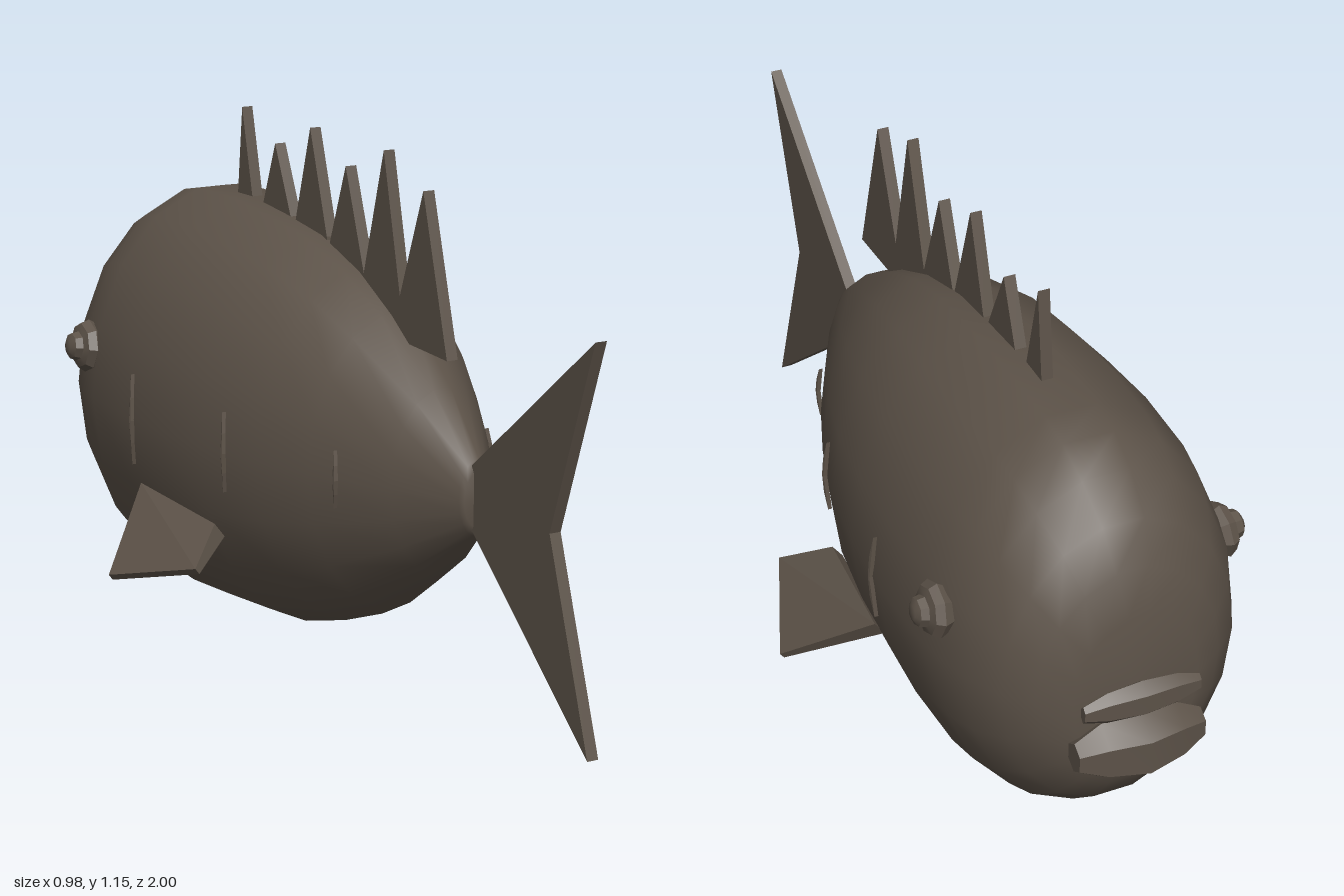
import * as THREE from 'three';
import { toCreasedNormals } from 'three/addons/utils/BufferGeometryUtils.js';

const skin = new THREE.MeshStandardMaterial({ name: 'brown skin', color: 0x5c5248 });

// Skin of elliptical rings [z, centreY, halfWidth, halfHeight], z increasing
function loft(rings, sides, offset) {
  const pos = [], idx = [];
  for (const [z, cy, a, b] of rings) {
    for (let j = 0; j < sides; j++) {
      const t = offset + (j / sides) * Math.PI * 2;
      pos.push(a * Math.sin(t), cy + b * Math.cos(t), z);
    }
  }
  for (let i = 0; i < rings.length - 1; i++) {
    for (let j = 0; j < sides; j++) {
      const k = (j + 1) % sides;
      const a = i * sides + j, b = a + sides, c = i * sides + k, d = c + sides;
      idx.push(a, b, c, c, b, d);
    }
  }
  const g = new THREE.BufferGeometry();
  g.setAttribute('position', new THREE.Float32BufferAttribute(pos, 3));
  g.setIndex(idx);
  g.computeVertexNormals();
  return g;
}

// Upright plate on the centre plane, outlined by [z, y] points
function plate(points, thickness) {
  const shape = new THREE.Shape(points.map(([z, y]) => new THREE.Vector2(z, y)));
  const g = new THREE.ExtrudeGeometry(shape, { depth: thickness, bevelEnabled: false });
  g.translate(0, 0, -thickness / 2);
  g.rotateY(-Math.PI / 2);
  return g;
}

export function createModel() {
  const group = new THREE.Group();
  const add = (name, geometry) => {
    const m = new THREE.Mesh(geometry, skin);
    m.name = name;
    group.add(m);
    return m;
  };

  // Body, head at -z
  const profile = [
    [-0.925, 0.467, 0, 0], [-0.922, 0.467, 0.14, 0.188], [-0.885, 0.472, 0.205, 0.27],
    [-0.84, 0.48, 0.26, 0.348], [-0.76, 0.477, 0.302, 0.415], [-0.68, 0.477, 0.325, 0.452],
    [-0.6, 0.477, 0.338, 0.468], [-0.42, 0.477, 0.345, 0.474], [-0.25, 0.478, 0.336, 0.46],
    [-0.09, 0.478, 0.315, 0.442], [0.08, 0.478, 0.268, 0.392], [0.22, 0.478, 0.215, 0.324],
    [0.41, 0.48, 0.122, 0.2], [0.55, 0.48, 0.042, 0.08], [0.562, 0.48, 0.036, 0.06], [0.562, 0.48, 0, 0],
  ];
  add('body', loft(profile.map(([z, y, a, b]) => [z, y, a, b / Math.cos(Math.PI / 18)]), 18, Math.PI / 18));

  // Tail fin
  add('tailFin', plate([[0.53, 0.41], [0.56, 0.41], [1, 0.055], [0.85, 0.485], [1, 0.905], [0.55, 0.55], [0.53, 0.53]], 0.026));

  // Dorsal spines, each rooted in the back
  const spines = [
    [[0.45, 0.75], [0.35, 1.09], [0.255, 0.85], [0.25, 0.755]],
    [[0.27, 0.755], [0.255, 0.85], [0.185, 1.15], [0.1, 0.87], [0.1, 0.78]],
    [[0.12, 0.8], [0.1, 0.87], [0.02, 1.09], [-0.055, 0.9], [-0.05, 0.84]],
    [[-0.06, 0.86], [-0.065, 0.92], [-0.14, 1.15], [-0.21, 0.93], [-0.21, 0.88]],
    [[-0.23, 0.88], [-0.23, 0.93], [-0.305, 1.09], [-0.37, 0.93], [-0.37, 0.9]],
    [[-0.41, 0.9], [-0.415, 0.94], [-0.465, 1.15], [-0.49, 0.94], [-0.49, 0.9]],
  ];
  spines.forEach((p) => add('dorsalSpine', plate(p, 0.026)));

  // Lips, lofted across the mouth
  const lip = (name, y, z, a, b, w) => {
    const g = loft([[-w, 0, 0, 0], [-w, 0, a * 0.4, b * 0.45], [-w * 0.6, 0, a * 0.72, b * 0.85], [0, 0, a, b],
      [w * 0.6, 0, a * 0.72, b * 0.85], [w, 0, a * 0.4, b * 0.45], [w, 0, 0, 0]], 6, 0);
    g.rotateY(Math.PI / 2);
    add(name, toCreasedNormals(g, 0.6)).position.set(0, y, z);
  };
  lip('upperLip', 0.463, -0.945, 0.028, 0.045, 0.13);
  lip('lowerLip', 0.348, -0.935, 0.075, 0.08, 0.142);

  for (const s of [1, -1]) {
    const side = s > 0 ? 'left' : 'right';

    // Eye with a raised pupil
    const eye = new THREE.LatheGeometry([[0.05, 0], [0.062, 0.025], [0.052, 0.043], [0.034, 0.049],
      [0.03, 0.066], [0.016, 0.074], [0, 0.075]].map(([r, h]) => new THREE.Vector2(r, h)), 8);
    const eyeMesh = add(side + 'Eye', toCreasedNormals(eye, 0.6));
    eyeMesh.position.set(s * 0.3, 0.585, -0.657);
    eyeMesh.rotation.z = -s * (Math.PI / 2 - 0.1);

    // Pectoral fin: wedge, thick at the root
    const corners = [[0.32, 0.315, -0.36, 0.02], [0.485, 0.175, -0.2, 0.008], [0.39, 0.24, 0.04, 0.008], [0.29, 0.295, -0.05, 0.02]];
    const pos = [];
    for (const k of [1, -1]) {
      for (const [x, y, z, t] of corners) pos.push(s * (x + 0.6 * k * t), y + 0.8 * k * t, z);
    }
    const idx = [0, 2, 1, 0, 3, 2, 4, 5, 6, 4, 6, 7];
    for (let i = 0; i < 4; i++) {
      const n = (i + 1) % 4;
      idx.push(i, n, i + 4, n, n + 4, i + 4);
    }
    if (s < 0) idx.reverse();
    const fin = new THREE.BufferGeometry();
    fin.setAttribute('position', new THREE.Float32BufferAttribute(pos, 3));
    fin.setIndex(idx);
    const flat = fin.toNonIndexed();
    flat.computeVertexNormals();
    add(side + 'PectoralFin', flat);

    // Thin curved gill ridges
    for (const [x, y, z, h] of [[0.344, 0.475, -0.375, 0.105], [0.298, 0.48, -0.01, 0.09], [0.189, 0.48, 0.295, 0.063]]) {
      const ridge = plate([[0, -h], [0.008, -h * 0.5], [0.012, 0], [0.008, h * 0.5], [0, h], [0.004, 0]], 0.009);
      // follow the curve of the flank
      const p = ridge.attributes.position;
      for (let i = 0; i < p.count; i++) {
        const v = p.getY(i) / (h * 4.5);
        p.setX(i, p.getX(i) - s * x * (1 - Math.sqrt(1 - v * v)));
      }
      ridge.computeVertexNormals();
      add(side + 'GillRidge', ridge).position.set(s * (x + 0.002), y, z - 0.008);
    }
  }
  return group;
}
